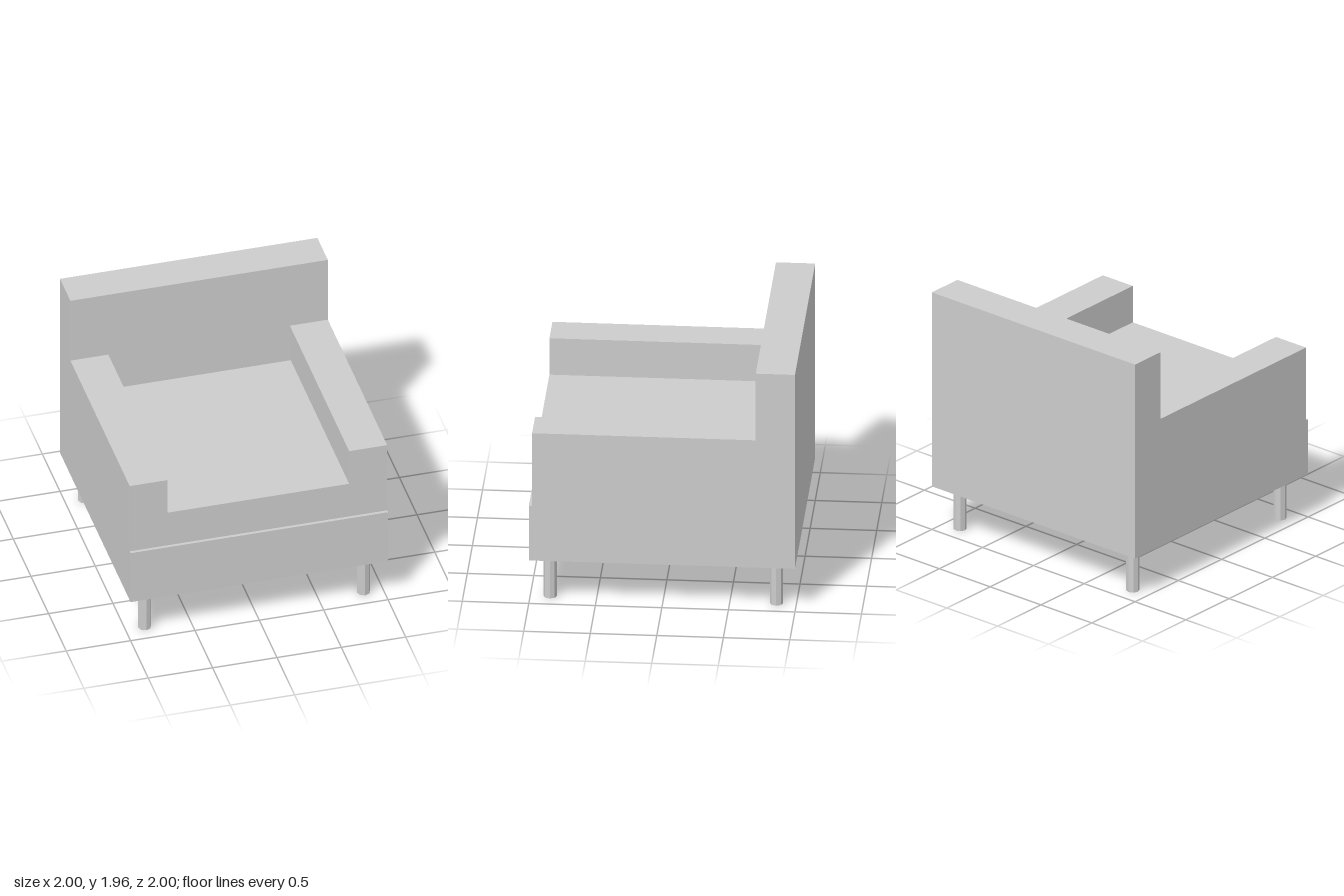
import * as THREE from 'three';

export function createModel() {
  const model = new THREE.Group();
  model.name = 'armchair';

  const grey = new THREE.MeshStandardMaterial({ color: 0xcccccc, flatShading: true });
  grey.name = 'grey';

  // Adds a box given its extents on each axis
  const addBox = (name, [x0, x1], [y0, y1], [z0, z1]) => {
    const mesh = new THREE.Mesh(new THREE.BoxGeometry(x1 - x0, y1 - y0, z1 - z0), grey);
    mesh.position.set((x0 + x1) / 2, (y0 + y1) / 2, (z0 + z1) / 2);
    mesh.name = name;
    model.add(mesh);
  };

  // Upholstered body; the cushion stops just short of the backrest
  addBox('base', [-1, 1], [0.355, 0.805], [-1, 1]);
  addBox('backrest', [-1, 1], [0.805, 1.955], [-1, -0.705]);
  addBox('seatCushion', [-0.705, 0.705], [0.805, 1.105], [-0.68, 0.975]);
  addBox('rightArm', [-1, -0.705], [0.805, 1.405], [-0.705, 0.975]);
  addBox('leftArm', [0.705, 1], [0.805, 1.405], [-0.705, 0.975]);

  // Four eight-sided legs
  const legGeometry = new THREE.CylinderGeometry(0.05, 0.05, 0.355, 8);
  for (const [side, x] of [['Right', -0.85], ['Left', 0.85]]) {
    for (const [end, z] of [['front', 0.85], ['back', -0.85]]) {
      const leg = new THREE.Mesh(legGeometry, grey);
      leg.position.set(x, 0.1775, z);
      leg.name = `${end}${side}Leg`;
      model.add(leg);
    }
  }

  return model;
}
